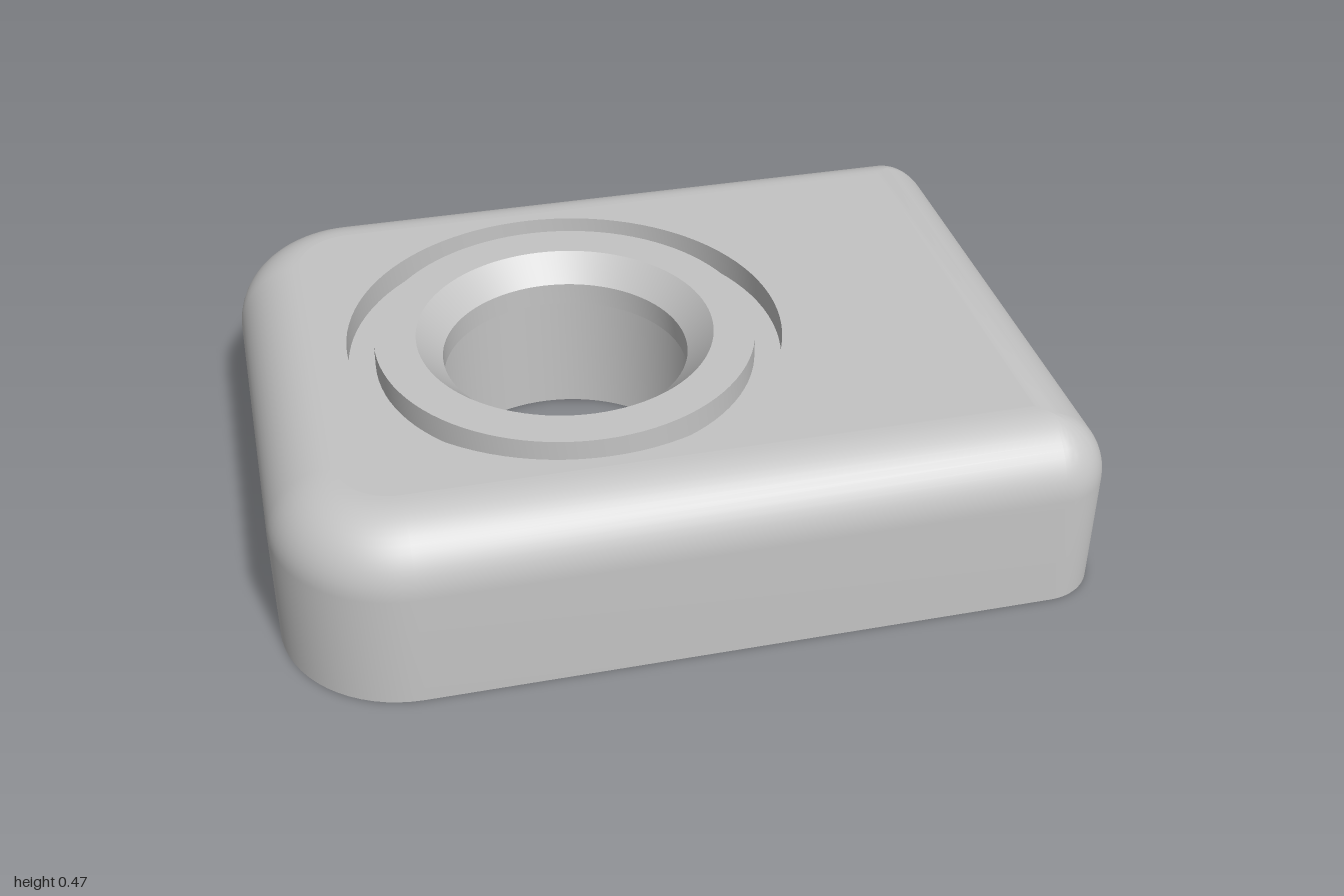
import * as THREE from 'three';
import { toCreasedNormals } from 'three/addons/utils/BufferGeometryUtils.js';

const HX = 1, HZ = 0.755, TOP = 0.475, FILLET = 0.17;
const R_LEFT = 0.14, R_RIGHT = 0.31; // plan corner radii at +x and -x
const HOLE_X = -0.2, GROOVE_R = 0.55, BORE_R = 0.355;
const CORNER_STEPS = 16, FILLET_STEPS = 14;

// Rounded plan outline, anticlockwise from above, inset by d
function outline(d) {
  const corners = [[1, -1, R_LEFT], [1, 1, R_LEFT], [-1, 1, R_RIGHT], [-1, -1, R_RIGHT]];
  const points = [];
  corners.forEach(([sx, sy, r], n) => {
    const rad = Math.max(r - d, 0);
    const cx = sx * (HX - d - rad), cy = sy * (HZ - d - rad);
    for (let i = 0; i <= CORNER_STEPS; i++) {
      const a = (n - 1 + i / CORNER_STEPS) * Math.PI / 2;
      points.push(new THREE.Vector2(cx + rad * Math.cos(a), cy + rad * Math.sin(a)));
    }
  });
  return points;
}

// Upright sides running into the rounded top edge
function wallGeometry() {
  const levels = [[0, 0]];
  for (let i = 0; i <= FILLET_STEPS; i++) {
    const a = i / FILLET_STEPS * Math.PI / 2;
    levels.push([FILLET * (1 - Math.cos(a)), TOP - FILLET + FILLET * Math.sin(a)]);
  }
  const positions = [], index = [];
  const n = outline(0).length;
  levels.forEach(([d, y], k) => {
    for (const p of outline(d)) positions.push(p.x, y, -p.y);
    if (k === levels.length - 1) return;
    for (let i = 0; i < n; i++) {
      const a = k * n + i, b = k * n + (i + 1) % n;
      index.push(a, b, b + n, a, b + n, a + n);
    }
  });
  const g = new THREE.BufferGeometry();
  g.setAttribute('position', new THREE.Float32BufferAttribute(positions, 3));
  g.setIndex(index);
  return toCreasedNormals(g, 0.5);
}

// Flat face with a round opening
function faceGeometry(inset, holeRadius) {
  const shape = new THREE.Shape(outline(inset));
  const hole = new THREE.Path();
  hole.absarc(HOLE_X, 0, holeRadius, 0, Math.PI * 2, true);
  shape.holes.push(hole);
  return new THREE.ShapeGeometry(shape, 48);
}

export function createModel() {
  const group = new THREE.Group();
  group.name = 'clampBlock';
  const grey = new THREE.MeshStandardMaterial({ color: 0xc4c4c4 });
  grey.name = 'grey';
  const add = (name, geometry) => {
    const mesh = new THREE.Mesh(geometry, grey);
    mesh.name = name;
    group.add(mesh);
    return mesh;
  };

  add('roundedSides', wallGeometry());
  add('topFace', faceGeometry(FILLET, GROOVE_R).rotateX(-Math.PI / 2)).position.y = TOP;
  add('bottomFace', faceGeometry(0, BORE_R).rotateX(Math.PI / 2));

  // Ring groove, raised collar, chamfer, inner lip and bore in one turned profile
  const profile = [
    [GROOVE_R, TOP], [GROOVE_R, TOP - 0.065], [0.482, TOP - 0.065], [0.482, TOP],
    [0.377, TOP], [0.312, TOP - 0.065], [0.312, 0.35], [BORE_R, 0.35], [BORE_R, 0],
  ].map(([r, y]) => new THREE.Vector2(r, y));
  add('grooveAndBore', toCreasedNormals(new THREE.LatheGeometry(profile, 96), 0.5)).position.x = HOLE_X;

  return group;
}
